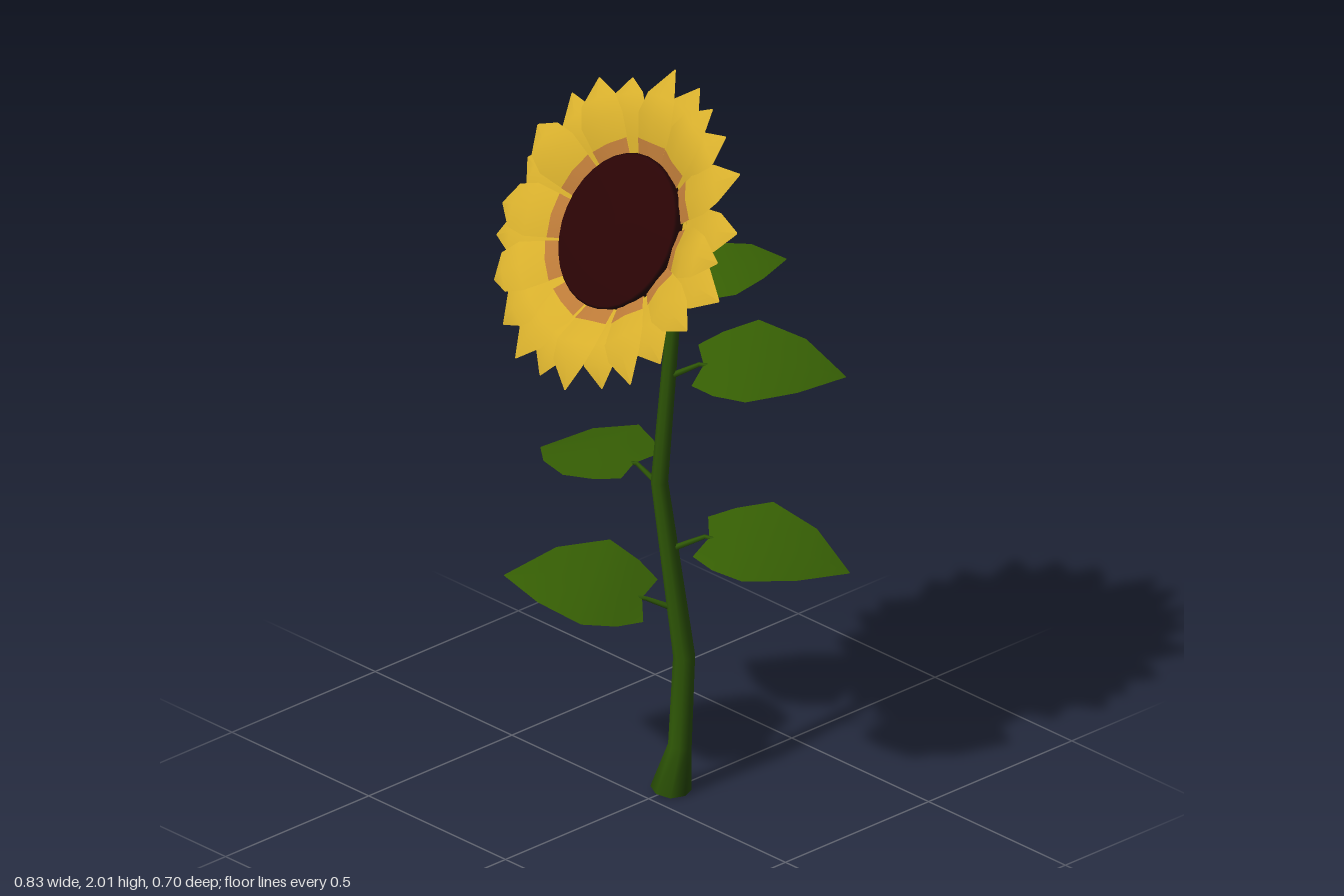
import * as THREE from 'three';
import { mergeGeometries } from 'three/addons/utils/BufferGeometryUtils.js';

const V = (x, y, z) => new THREE.Vector3(x, y, z);
const mat = (name, color, side = THREE.FrontSide) => {
  const m = new THREE.MeshStandardMaterial({ color, side });
  m.name = name;
  return m;
};

function build(positions, index) {
  const g = new THREE.BufferGeometry();
  g.setAttribute('position', new THREE.Float32BufferAttribute(positions, 3));
  g.setIndex(index);
  g.computeVertexNormals();
  return g;
}

// Tapered tube through [x, y, z, radius] points
function taperedTube(points, sides) {
  const pos = [], idx = [];
  const centres = points.map(p => V(p[0], p[1], p[2]));
  points.forEach((p, i) => {
    const t = centres[Math.min(i + 1, points.length - 1)].clone().sub(centres[Math.max(i - 1, 0)]).normalize();
    const u = V(1, 0, 0).addScaledVector(t, -t.x).normalize();
    const w = u.clone().cross(t);
    for (let k = 0; k < sides; k++) {
      const a = k / sides * Math.PI * 2;
      const q = centres[i].clone().addScaledVector(u, Math.cos(a) * p[3]).addScaledVector(w, Math.sin(a) * p[3]);
      pos.push(q.x, Math.max(0, q.y), q.z);
      if (i) {
        const n = (k + 1) % sides, b = i * sides, c = b - sides;
        idx.push(c + k, b + k, c + n, c + n, b + k, b + n);
      }
    }
  });
  // bottom cap
  for (let k = 1; k < sides - 1; k++) idx.push(0, k, k + 1);
  return build(pos, idx);
}

// Blade along +y facing +z, from [distance, halfWidth, lift, sweep] stations;
// edges drop by fold and trail the midrib by sweep
function blade(stations, fold) {
  const pos = [], idx = [];
  stations.forEach(([y, w, z, sweep = 0], i) => {
    pos.push(-w, y - sweep, z - fold * w, 0, y, z, w, y - sweep, z - fold * w);
    if (i) for (let k = 0; k < 2; k++) {
      const a = (i - 1) * 3 + k, b = i * 3 + k;
      idx.push(a, a + 1, b, b, a + 1, b + 1);
    }
  });
  return build(pos, idx);
}

let seed = 7;
const jitter = () => {
  seed = (seed * 16807) % 2147483647;
  return seed / 2147483647 * 2 - 1;
};

export function createModel() {
  const group = new THREE.Group();
  const stemGreen = mat('stem green', 0x2e5606);
  const leafGreen = mat('leaf green', 0x355d04, THREE.DoubleSide);
  const yellow = mat('petal yellow', 0xd6ae2c, THREE.DoubleSide);
  const orange = mat('petal base orange', 0xbb7a38);
  const brown = mat('seed brown', 0x290405);
  const add = (parent, name, geometry, material) => {
    const m = new THREE.Mesh(geometry, material);
    m.name = name;
    parent.add(m);
  };

  // Bent stem with a flared foot and a neck reaching the flower
  add(group, 'stem', taperedTube([
    [0, 0, -0.078, 0.053], [0.02, 0.13, -0.09, 0.03], [0.028, 0.38, -0.097, 0.028],
    [-0.016, 0.87, -0.053, 0.022], [0.018, 1.41, -0.077, 0.017],
    [0.012, 1.5, -0.04, 0.026], [0.004, 1.59, 0.005, 0.038],
  ], 8), stemGreen);

  // Leaves: stem joint, blade base, blade tip, half width, sideways roll
  const leaves = [
    ['lowerRightLeaf', [0.015, 0.51, -0.085], [-0.04, 0.54, -0.03], [-0.34, 0.57, 0.18], 0.175, 0.22],
    ['lowerLeftLeaf', [0.005, 0.68, -0.07], [0.085, 0.73, -0.115], [0.4, 0.67, -0.32], 0.147, -0.34],
    ['middleRightLeaf', [-0.016, 0.86, -0.053], [-0.085, 0.9, -0.04], [-0.395, 0.85, 0], 0.155, 0.07],
    ['middleLeftLeaf', [0.008, 1.17, -0.066], [0.075, 1.215, -0.105], [0.36, 1.2, -0.345], 0.147, -0.35],
    ['upperRightLeaf', [0.015, 1.35, -0.075], [-0.06, 1.37, -0.04], [-0.31, 1.335, 0.13], 0.125, -0.2],
    ['upperLeftLeaf', [0.018, 1.42, -0.075], [0.05, 1.435, -0.11], [0.18, 1.48, -0.31], 0.12, -0.14],
  ];
  for (const [name, joint, base, tip, halfWidth, roll] of leaves) {
    const b = V(...base), dir = V(...tip).sub(b), len = dir.length();
    dir.normalize();
    const side = dir.clone().cross(V(0, 1, 0)).normalize();
    side.y = roll;
    side.addScaledVector(dir, -side.dot(dir)).normalize();
    const g = blade([[0.03, 0.5, 0, 0.06], [0.13, 0.78, 0.04], [0.36, 1, 0.1], [0.7, 0.65, 0.085], [1, 0.01, 0]]
      .map(([t, w, l, s = 0]) => [t * len, w * halfWidth, l * len, s * len]), 0.06);
    g.applyMatrix4(new THREE.Matrix4().makeBasis(side, dir, side.clone().cross(dir)).setPosition(b));
    add(group, name, g, leafGreen);
    const end = b.clone().addScaledVector(dir, 0.05);
    add(group, name + 'Stalk', taperedTube([[...joint, 0.009], [...base, 0.006], [end.x, end.y, end.z, 0.004]], 5), stemGreen);
  }

  // Flower head, tilted upward and turned slightly to one side
  const head = new THREE.Group();
  head.name = 'flowerHead';
  head.position.set(0, 1.632, 0.1);
  head.rotation.set(-0.555, -0.09, 0);
  group.add(head);

  const lathe = pts => new THREE.LatheGeometry(pts.map(p => new THREE.Vector2(...p)), 32).rotateX(Math.PI / 2);
  add(head, 'greenCup', lathe([[0.03, -0.128], [0.08, -0.112], [0.14, -0.08], [0.18, -0.05]]), leafGreen);
  add(head, 'petalCollar', lathe([[0.18, -0.05], [0.212, -0.018]]), yellow);
  add(head, 'seedDisc', lathe([[0.197, -0.02], [0.204, 0.008], [0.198, 0.014], [0.1, 0.024], [0, 0.027]]), brown);

  // Two staggered rings of gently arched petals; the front ring has orange bases
  const count = 12;
  for (const front of [true, false]) {
    const petals = [], bases = [];
    for (let i = 0; i < count; i++) {
      const angle = (i + (front ? 0 : 0.5)) / count * Math.PI * 2 + 0.1 + jitter() * 0.07;
      const tip = 0.418 + jitter() * 0.018;
      const z = front ? 0 : -0.02;
      const arch = 1 + jitter() * 0.35;
      const w = 1.05 + jitter() * 0.1;
      petals.push(blade([
        [0.18, 0.042 * w, z - 0.012], [0.238, 0.053 * w, z + 0.018 * arch], [0.3, 0.064 * w, z + 0.047 * arch],
        [0.355, 0.052 * w, z + 0.052 * arch], [tip, 0.002, z + 0.03 * arch],
      ], 0.15).rotateZ(angle));
      if (front) bases.push(blade([
        [0.18, 0.042 * w, z - 0.009], [0.238, 0.053 * w, z + 0.018 * arch + 0.003],
      ], 0.15).rotateZ(angle));
    }
    add(head, front ? 'frontPetals' : 'backPetals', mergeGeometries(petals), yellow);
    if (front) add(head, 'petalBases', mergeGeometries(bases), orange);
  }
  return group;
}
